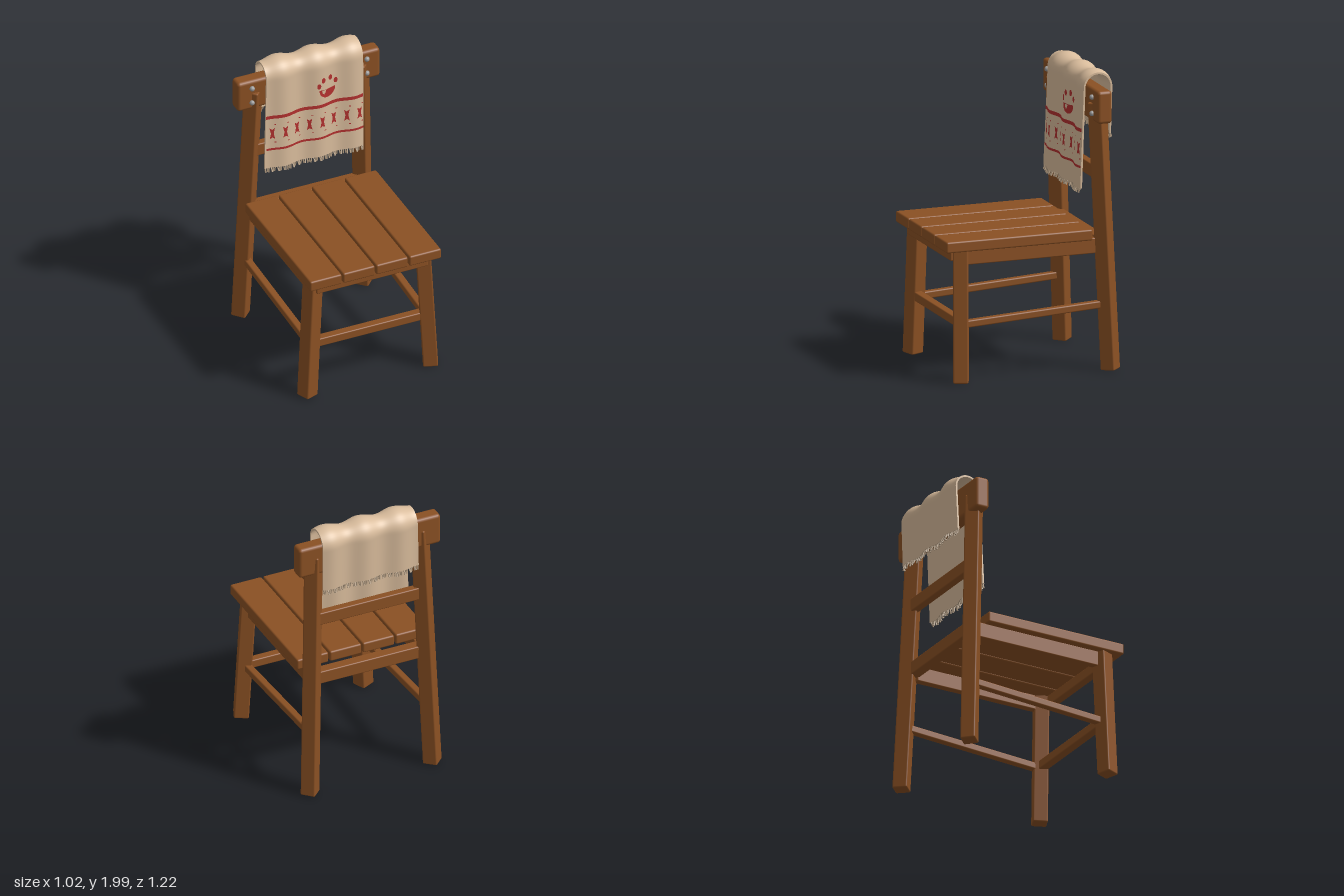
import * as THREE from 'three';
import { mergeGeometries } from 'three/addons/utils/BufferGeometryUtils.js';
import { RoundedBoxGeometry } from 'three/addons/geometries/RoundedBoxGeometry.js';

const material = (name, color, side = THREE.FrontSide) => {
  const m = new THREE.MeshStandardMaterial({ color, side });
  m.name = name;
  return m;
};

export function createModel() {
  const wood = material('wood', 0x8a5023);
  const steel = material('boltSteel', 0x9a9a9a);
  const cloth = material('cloth', 0xd8bb9b, THREE.DoubleSide);
  const fringeYarn = material('fringeYarn', 0xb09a80, THREE.DoubleSide);
  const red = material('redPrint', 0xb2302e, THREE.DoubleSide);

  const chair = new THREE.Group();
  chair.name = 'chairWithTowel';
  const add = (name, geometry, mat) => {
    const mesh = new THREE.Mesh(geometry, mat);
    mesh.name = name;
    chair.add(mesh);
    return mesh;
  };

  // Axis-aligned board given by its limits
  const board = (name, x0, x1, y0, y1, z0, z1, r = 0.012) =>
    add(name, new RoundedBoxGeometry(x1 - x0, y1 - y0, z1 - z0, 2, r), wood)
      .position.set((x0 + x1) / 2, (y0 + y1) / 2, (z0 + z1) / 2);

  // Leaning beam between two points, turned about its own length
  const beam = (name, from, to, w, d, turn = 0) => {
    const a = new THREE.Vector3(...from), b = new THREE.Vector3(...to);
    const mesh = add(name, new RoundedBoxGeometry(w, a.distanceTo(b), d, 2, 0.01), wood);
    mesh.quaternion.setFromUnitVectors(new THREE.Vector3(0, 1, 0), b.clone().sub(a).normalize());
    mesh.rotateY(turn);
    mesh.position.copy(a.add(b).multiplyScalar(0.5));
  };

  // Seat planks
  for (let i = 0; i < 4; i++) {
    const x = -0.47 + i * 0.2377;
    board('seatPlank', x, x + 0.227, 0.89, 0.965, -0.41, 0.61);
  }

  // Legs, side rails, side stretchers and bolts
  for (const s of [-1, 1]) {
    beam('frontLeg', [s * 0.442, 0.01, 0.5], [s * 0.395, 0.9, 0.485], 0.1, 0.1, -s * 0.4);
    beam('backLeg', [s * 0.442, 0.01, -0.542], [s * 0.383, 1.8, -0.472], 0.1, 0.1, s * Math.PI / 4);
    const x = s * 0.395;
    board('sideRail', x - 0.025, x + 0.025, 0.79, 0.895, -0.46, 0.47, 0.008);
    beam('sideStretcher', [s * 0.415, 0.395, 0.47], [s * 0.42, 0.45, -0.5], 0.05, 0.05);
    for (const y of [1.73, 1.84])
      add('bolt', new THREE.SphereGeometry(0.018, 16, 10), steel).position.set(s * 0.412, y, -0.425);
  }

  // Cross members
  board('frontRail', -0.4, 0.4, 0.82, 0.893, 0.5, 0.557, 0.008);
  board('backRail', -0.4, 0.4, 0.815, 0.907, -0.52, -0.445, 0.008);
  board('frontStretcher', -0.39, 0.39, 0.375, 0.435, 0.46, 0.52, 0.008);
  board('middleBackRail', -0.38, 0.38, 1.27, 1.36, -0.52, -0.465, 0.008);
  board('topBackRail', -0.512, 0.512, 1.675, 1.895, -0.53, -0.43, 0.022);

  // Towel profile: front drop, half circle over the rail, back drop
  const topY = 1.89, frontY = 1.22, backY = 1.575, cz = -0.485, r = 0.095;
  const ripple = (x) => 0.011 * Math.cos((x + 0.2) * Math.PI * 2 / 0.25);
  const frontLean = (y) => (topY - y) * 0.03;
  const lengths = [topY - frontY, Math.PI * r, topY - backY];
  const total = lengths[0] + lengths[1] + lengths[2];
  const towelPoint = (u, v, offset) => {
    const s = v * total;
    const drop = Math.max(0, lengths[0] - s, s - lengths[0] - lengths[1]);
    const x = THREE.MathUtils.lerp(-0.322 - 0.035 * drop, 0.367 - 0.01 * drop, u);
    const d = r + ripple(x) + offset;
    if (s < lengths[0]) return [x, topY - drop, cz + d + frontLean(topY - drop)];
    if (s > lengths[0] + lengths[1]) return [x, topY - drop, cz - d + drop * 0.03];
    const a = (s - lengths[0]) / r;
    return [x, topY + d * Math.sin(a), cz + d * Math.cos(a)];
  };
  const sheet = (nu, nv, fn) => {
    const g = new THREE.PlaneGeometry(1, 1, nu, nv), p = g.attributes.position;
    for (let i = 0; i < p.count; i++) p.setXYZ(i, ...fn(p.getX(i) + 0.5, p.getY(i) + 0.5));
    g.computeVertexNormals();
    return g;
  };
  const half = 0.006;
  add('towel', mergeGeometries([
    sheet(80, 90, (u, v) => towelPoint(u, v, half)),
    sheet(80, 90, (u, v) => towelPoint(1 - u, v, -half)),
    sheet(1, 90, (u, v) => towelPoint(0, v, (u * 2 - 1) * half)),
    sheet(1, 90, (u, v) => towelPoint(1, v, (1 - u * 2) * half)),
    sheet(80, 1, (u, v) => towelPoint(u, 0, (v * 2 - 1) * half)),
    sheet(80, 1, (u, v) => towelPoint(u, 1, (1 - v * 2) * half)),
  ]), cloth);

  // Fringe threads along both hems
  const threads = [];
  for (const v of [0, 1]) for (let i = 0; i < 52; i++) {
    const [x, y, z] = towelPoint((i + 0.5) / 52, v, 0);
    const g = new THREE.BoxGeometry(0.0075, 0.036, 0.008);
    g.translate(0, -0.015, 0);
    g.rotateZ(0.18 * Math.sin(i * 2.3));
    g.rotateX(0.3 * Math.sin(i * 1.7) - 0.2 * (v ? -1 : 1));
    threads.push(g.translate(x, y, z));
  }
  add('towelFringe', mergeGeometries(threads), fringeYarn);

  // Printed details, laid onto the front drop
  const print = (name, geometries) => {
    const g = mergeGeometries(geometries), p = g.attributes.position;
    for (let i = 0; i < p.count; i++) {
      const x = p.getX(i), y = p.getY(i);
      p.setZ(i, cz + r + ripple(x) + half + frontLean(y) + 0.003);
    }
    g.computeVertexNormals();
    add(name, g, red);
  };
  const stripe = (y, h) => new THREE.PlaneGeometry(0.69, h, 80, 1).translate(0.014, y, 0);
  print('towelStripes', [stripe(1.608, 0.024), stripe(1.363, 0.016)]);

  // Row of hourglass motifs with small dashes above and below
  const hourglass = new THREE.Shape([[-0.018, -0.042], [0, -0.03], [0.018, -0.042], [0.009, 0],
    [0.018, 0.042], [0, 0.03], [-0.018, 0.042], [-0.009, 0]].map((p) => new THREE.Vector2(...p)));
  const motifs = [];
  for (let i = 0; i < 8; i++) {
    const x = -0.29 + i * 0.0886;
    motifs.push(new THREE.ShapeGeometry(hourglass).translate(x, 1.482, 0));
    for (const y of [1.415, 1.55])
      motifs.push(new THREE.PlaneGeometry(0.012, 0.006).translate(x + 0.02, y, 0));
  }
  print('towelMotifs', motifs);

  // Paw print: rounded pad and four toes
  const pad = new THREE.Shape();
  pad.moveTo(-0.06, 0.03);
  pad.quadraticCurveTo(0, 0.02, 0.06, 0.03);
  pad.bezierCurveTo(0.066, -0.01, 0.03, -0.037, 0, -0.037);
  pad.bezierCurveTo(-0.03, -0.037, -0.066, -0.01, -0.06, 0.03);
  const toes = [[0.043, 1.76], [0.076, 1.798], [0.13, 1.805], [0.17, 1.77]].map(([x, y]) =>
    new THREE.CircleGeometry(0.017, 14).scale(0.85, 1.2, 1).translate(x, y, 0));
  print('pawPrint', [new THREE.ShapeGeometry(pad, 8).translate(0.105, 1.7, 0), ...toes]);

  return chair;
}
